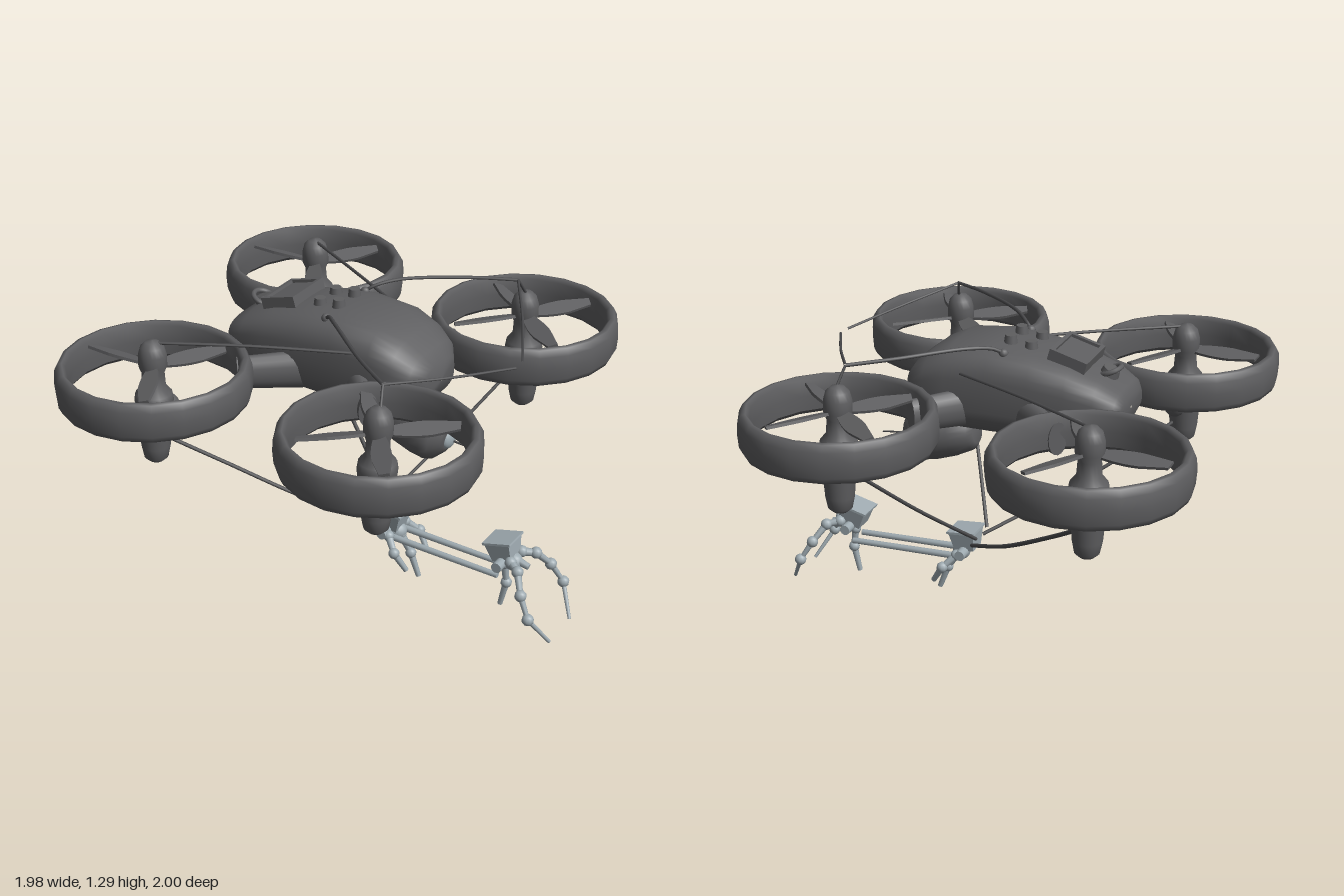
import * as THREE from 'three';

const mat = (name, color, side = THREE.FrontSide) => {
  const m = new THREE.MeshStandardMaterial({ color, side });
  m.name = name;
  return m;
};
const V = (p) => new THREE.Vector3(...p);

// Closed hull from superellipse sections along x: [x, bottom, top, halfWidth]
function loft(stations, power, n = 32) {
  const pos = [], idx = [];
  const s = (v) => Math.sign(v) * Math.abs(v) ** (2 / power);
  for (const [x, y0, y1, w] of stations)
    for (let j = 0; j < n; j++) {
      const t = (j / n) * Math.PI * 2;
      pos.push(x, (y0 + y1) / 2 + ((y1 - y0) / 2) * s(Math.cos(t)), w * s(Math.sin(t)));
    }
  for (let i = 0; i < stations.length - 1; i++)
    for (let j = 0; j < n; j++) {
      const a = i * n + j, b = i * n + ((j + 1) % n);
      idx.push(a, b, a + n, b, b + n, a + n);
    }
  const g = new THREE.BufferGeometry();
  g.setAttribute('position', new THREE.Float32BufferAttribute(pos, 3));
  g.setIndex(idx);
  g.computeVertexNormals();
  return g;
}

const lathe = (pts, seg) => new THREE.LatheGeometry(pts.map((p) => new THREE.Vector2(...p)), seg);

export function createModel() {
  const model = new THREE.Group();
  model.name = 'drone';
  const dark = mat('dark grey shell', 0x5e5e60);
  const cableMat = mat('cable grey', 0x4a4a4c);
  const metal = mat('light metal', 0x9fabb1);

  const add = (name, geo, m, pos = [0, 0, 0], parent = model) => {
    const mesh = new THREE.Mesh(geo, m);
    mesh.name = name;
    mesh.position.set(...pos);
    parent.add(mesh);
    return mesh;
  };
  const rod = (name, a, b, r0, r1, m, seg = 8, parent = model) => {
    const d = V(b).sub(V(a));
    const mesh = add(name, new THREE.CylinderGeometry(r1, r0, d.length(), seg), m, [0, 0, 0], parent);
    mesh.position.copy(V(a).add(V(b)).multiplyScalar(0.5));
    mesh.quaternion.setFromUnitVectors(new THREE.Vector3(0, 1, 0), d.normalize());
    return mesh;
  };
  const cable = (name, pts, r = 0.007) =>
    add(name, new THREE.TubeGeometry(new THREE.CatmullRomCurve3(pts.map(V), false, 'centripetal'), 24, r, 6), cableMat);

  // Body
  add('body', loft([
    [-0.55, 1.03, 1.04, 0.005], [-0.55, 0.99, 1.08, 0.14], [-0.53, 0.95, 1.12, 0.17],
    [-0.45, 0.92, 1.17, 0.2], [-0.33, 0.9, 1.215, 0.215], [-0.18, 0.885, 1.25, 0.225],
    [0, 0.88, 1.27, 0.23], [0.18, 0.88, 1.25, 0.23], [0.28, 0.895, 1.2, 0.22],
    [0.35, 0.925, 1.145, 0.185], [0.39, 0.96, 1.095, 0.12], [0.4, 1.02, 1.03, 0.005],
  ], 3.2), dark);

  // Raised screen with a frame
  const screen = new THREE.Group();
  screen.name = 'screenPanel';
  screen.position.set(-0.31, 1.225, 0);
  screen.rotation.z = 0.27;
  model.add(screen);
  add('screen', new THREE.BoxGeometry(0.15, 0.04, 0.2), dark, [0, 0, 0], screen);
  for (const k of [-1, 1]) {
    add('screenSide', new THREE.BoxGeometry(0.16, 0.055, 0.018), dark, [0, 0.005, k * 0.104], screen);
    add('screenEnd', new THREE.BoxGeometry(0.018, 0.055, 0.226), dark, [k * 0.073, 0.005, 0], screen);
  }

  // Round dial and four knobs
  const dial = add('dial', new THREE.CylinderGeometry(0.035, 0.04, 0.03, 20), dark, [-0.46, 1.175, 0]);
  const dialRing = add('dialRing', new THREE.TorusGeometry(0.045, 0.011, 8, 24), dark, [-0.46, 1.18, 0]);
  dial.rotation.z = 0.38;
  dialRing.rotation.set(-Math.PI / 2, 0.38, 0);
  for (const x of [-0.14, -0.05])
    for (const z of [-0.06, 0.06])
      add('knob', new THREE.CylinderGeometry(0.023, 0.029, 0.04, 16), dark, [x, x < -0.1 ? 1.26 : 1.275, z]);

  // Camera pod under the nose
  const pod = add('cameraPod', lathe([[0, -0.15], [0.05, -0.15], [0.078, -0.13], [0.105, -0.05],
    [0.122, 0.04], [0.125, 0.09], [0.115, 0.125], [0.07, 0.165], [0.05, 0.17], [0, 0.17]], 24), dark, [0.275, 0.795, 0]);
  pod.rotation.z = -Math.PI / 2 - 0.14;
  const lens = add('lens', new THREE.SphereGeometry(0.048, 20, 12), metal, [0.435, 0.768, 0]);
  lens.scale.x = 0.6;
  rod('lensProbe', [0.44, 0.76, 0], [0.57, 0.745, 0], 0.005, 0.003, cableMat, 6);

  // Rotor units: ring duct, motor pod, blades
  const ringGeo = lathe([[0.35, -0.065], [0.365, -0.082], [0.385, -0.08], [0.397, -0.055], [0.401, 0],
    [0.397, 0.05], [0.382, 0.078], [0.365, 0.082], [0.35, 0.065], [0.345, 0], [0.35, -0.065]], 20);
  const motorGeo = lathe([[0, -0.37], [0.03, -0.368], [0.05, -0.35], [0.06, -0.3], [0.068, -0.2],
    [0.08, -0.09], [0.075, -0.06], [0.05, -0.03], [0.046, 0.03], [0.058, 0.06], [0.058, 0.11],
    [0.048, 0.145], [0.028, 0.165], [0, 0.172]], 20);
  const bladeShape = new THREE.Shape();
  bladeShape.moveTo(0.03, -0.02);
  bladeShape.quadraticCurveTo(0.12, -0.045, 0.2, -0.04);
  bladeShape.lineTo(0.31, -0.022);
  bladeShape.lineTo(0.32, 0.018);
  bladeShape.lineTo(0.2, 0.036);
  bladeShape.quadraticCurveTo(0.12, 0.04, 0.03, 0.02);
  const bladeGeo = new THREE.ExtrudeGeometry(bladeShape, { depth: 0.012, bevelEnabled: false, curveSegments: 6 });
  bladeGeo.translate(0, 0, -0.006).rotateX(-Math.PI / 2 + 0.3);
  const rad = Math.PI / 180;
  for (const [x, angles] of [[-0.592, [180, 59, -59]], [0.463, [41, 131, 221, 305]]])
    for (const k of [-1, 1]) {
      const unit = new THREE.Group();
      unit.name = 'rotorUnit';
      unit.position.set(x, 1.025, k * 0.6);
      model.add(unit);
      add('ringDuct', ringGeo, dark, [0, 0, 0], unit);
      const motor = add('motorPod', motorGeo, dark, [0, 0, k * 0.005], unit);
      motor.rotation.x = -k * 0.03;
      for (const a of angles) {
        const blade = add('blade', bladeGeo, dark, [0, 0.06, 0], unit);
        blade.rotation.y = k * a * rad;
      }
      // Cable bracket on the inner side of the pod
      const bracket = add('cableBracket', new THREE.SphereGeometry(0.06, 14, 10), dark,
        [x < 0 ? 0.025 : -0.025, -0.16, -k * 0.04], unit);
      bracket.scale.y = 1.4;
    }

  // Flattened arms from body to ducts
  for (const k of [-1, 1])
    for (const [a, b] of [[[-0.14, 1.0, k * 0.16], [-0.36, 1.0, k * 0.34]], [[0.08, 1.0, k * 0.15], [0.25, 1.0, k * 0.33]]]) {
      const arm = add('arm', new THREE.CylinderGeometry(0.07, 0.085, 0.3, 16).scale(1, 1, 0.6).rotateZ(-Math.PI / 2), dark);
      arm.position.copy(V(a).add(V(b)).multiplyScalar(0.5));
      arm.rotation.y = Math.atan2(-(b[2] - a[2]), b[0] - a[0]);
    }

  // Cables, mirrored on both sides
  for (const k of [-1, 1]) {
    cable('topCable', [[-0.06, 1.24, k * 0.15], [-0.03, 1.265, k * 0.17], [0.05, 1.285, k * 0.25],
      [0.28, 1.275, k * 0.44], [0.45, 1.262, k * 0.55]], 0.008);
    rod('hubLink', [0.45, 1.262, k * 0.55], [0.47, 1.18, k * 0.6], 0.006, 0.006, cableMat, 6);
    cable('tipCable', [[0.45, 1.262, k * 0.55], [0.6, 1.22, k * 0.3], [0.74, 1.18, k * 0.03]], 0.006);
    add('cableSocket', new THREE.SphereGeometry(0.02, 12, 8), dark, [-0.055, 1.245, k * 0.15]);
    cable('sideCable', [[-0.57, 1.185, k * 0.59], [-0.25, 1.178, k * 0.41], [0.11, 1.158, k * 0.215]]);
    cable('rearSling', [[-0.56, 0.75, k * 0.57], [-0.38, 0.615, k * 0.43], [-0.1, 0.43, k * 0.24], [0.13, 0.305, k * 0.06]], 0.009);
    cable('frontSling', [[0.41, 0.8, k * 0.56], [0.26, 0.565, k * 0.32], [0.11, 0.34, k * 0.06]], 0.008);
  }

  // Jointed gripper finger: tapered segments with knuckles
  const finger = (name, pts, r) => {
    const g = new THREE.Group();
    g.name = name;
    model.add(g);
    for (let i = 0; i < pts.length - 1; i++) {
      rod('fingerSegment', pts[i], pts[i + 1], r * (1 - i * 0.15), r * (0.75 - i * 0.12), metal, 8, g);
      add('knuckle', new THREE.SphereGeometry(r * 1.35, 10, 8), metal, pts[i], g);
    }
  };
  // Palm: tapered block with a thin lid and side pins
  const palm = (x, y, tilt) => {
    const g = new THREE.Group();
    g.name = 'palm';
    g.position.set(x, y, 0);
    g.rotation.z = tilt;
    model.add(g);
    const block = new THREE.CylinderGeometry(0.082, 0.062, 0.085, 4).rotateY(Math.PI / 4).toNonIndexed();
    block.computeVertexNormals();
    add('palmBlock', block, metal, [0, 0, 0], g);
    add('palmLid', new THREE.BoxGeometry(0.13, 0.01, 0.125), metal, [0, 0.045, 0], g);
    const pin = add('crossPin', new THREE.CylinderGeometry(0.023, 0.023, 0.19, 12), metal, [0, -0.045, 0], g);
    pin.rotation.x = Math.PI / 2;
    add('wrist', new THREE.SphereGeometry(0.04, 14, 10), metal, [0.03, -0.06, 0], g);
  };
  palm(0.18, 0.305, -0.1);
  palm(0.715, 0.325, 0.25);
  for (const k of [-1, 1]) {
    rod('connectingRod', [0.2, 0.233, k * 0.045], [0.71, 0.213, k * 0.045], 0.015, 0.013, metal, 10);
    finger('rearFinger', [[0.2, 0.25, k * 0.07], [0.25, 0.2, k * 0.11], [0.3, 0.12, k * 0.09]], 0.018);
    finger('frontFinger', [[0.77, 0.3, k * 0.05], [0.82, 0.29, k * 0.085], [0.865, 0.22, k * 0.14],
      [0.915, 0.135, k * 0.165], [0.985, 0.01, k * 0.095]], 0.019);
  }
  finger('rearThumb', [[0.22, 0.23, 0], [0.27, 0.15, 0], [0.31, 0.045, 0]], 0.018);
  finger('frontThumb', [[0.72, 0.25, 0], [0.73, 0.16, 0], [0.705, 0.045, 0]], 0.018);
  finger('middleFinger', [[0.76, 0.29, 0], [0.83, 0.27, 0]], 0.018);

  return model;
}
